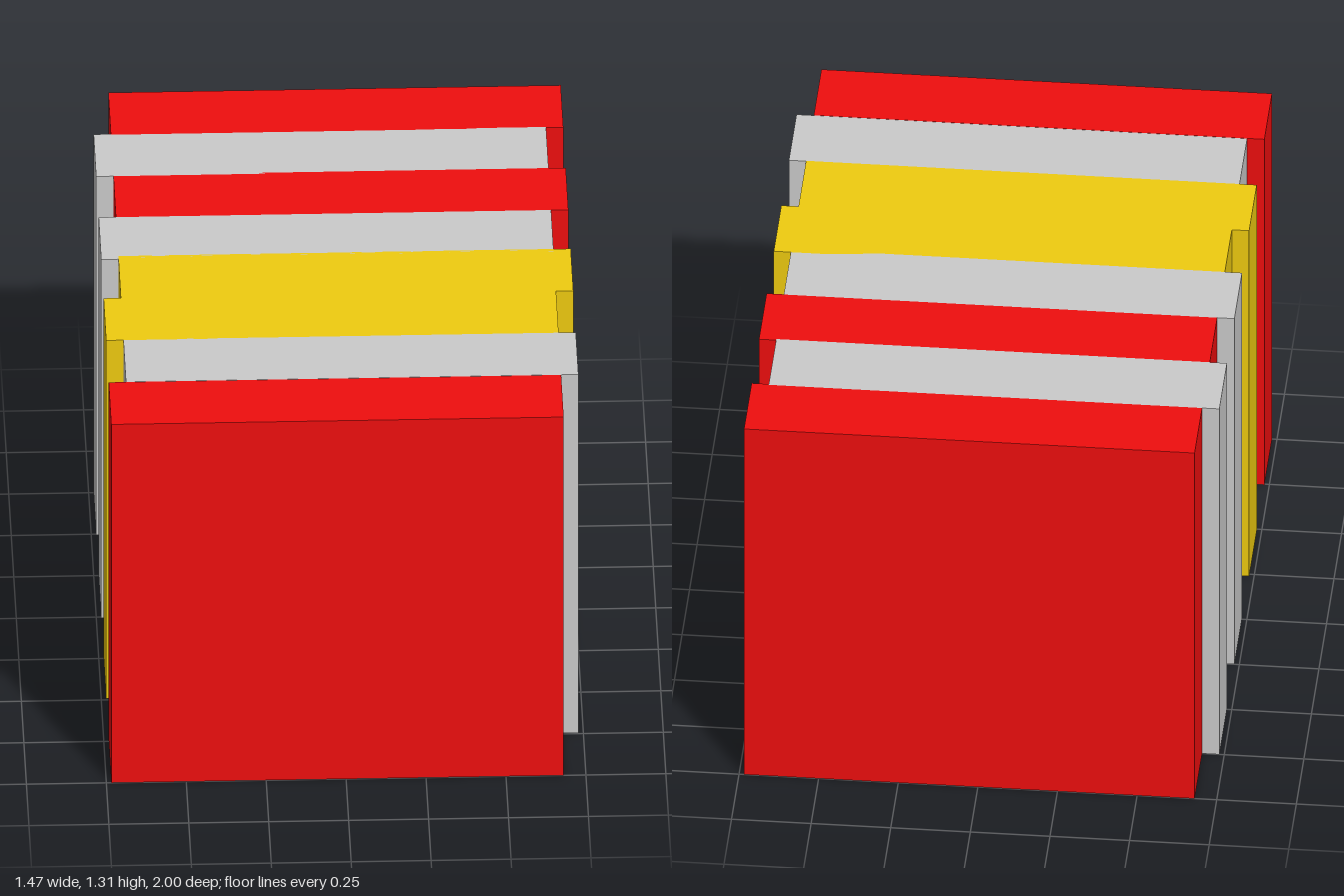
import * as THREE from 'three';

const WIDTH = 1.415, HEIGHT = 1.31, DEPTH = 0.254;
const SHIFT = 0.027; // sideways stagger of each slab

export function createModel() {
  const model = new THREE.Group();
  model.name = 'staggeredSlabs';

  const red = new THREE.MeshStandardMaterial({ color: 0xf00e0e });
  const yellow = new THREE.MeshStandardMaterial({ color: 0xf0cc10 });
  const grey = new THREE.MeshStandardMaterial({ color: 0xcccccc });

  // Slabs from front to back: name, material, side (+1 = left), centre z
  const slabs = [
    ['frontRedSlab', red, -1, 0.873],
    ['frontGreySlab', grey, 1, 0.618],
    ['frontYellowSlab', yellow, -1, 0.366],
    ['backYellowSlab', yellow, 1, 0.113],
    ['middleGreySlab', grey, -1, -0.122],
    ['middleRedSlab', red, 1, -0.375],
    ['backGreySlab', grey, -1, -0.623],
    ['backRedSlab', red, 1, -0.873],
  ];

  const geometry = new THREE.BoxGeometry(WIDTH, HEIGHT, DEPTH);
  for (const [name, material, side, z] of slabs) {
    const slab = new THREE.Mesh(geometry, material);
    slab.name = name;
    slab.position.set(side * SHIFT, HEIGHT / 2, z);
    model.add(slab);
  }
  return model;
}
